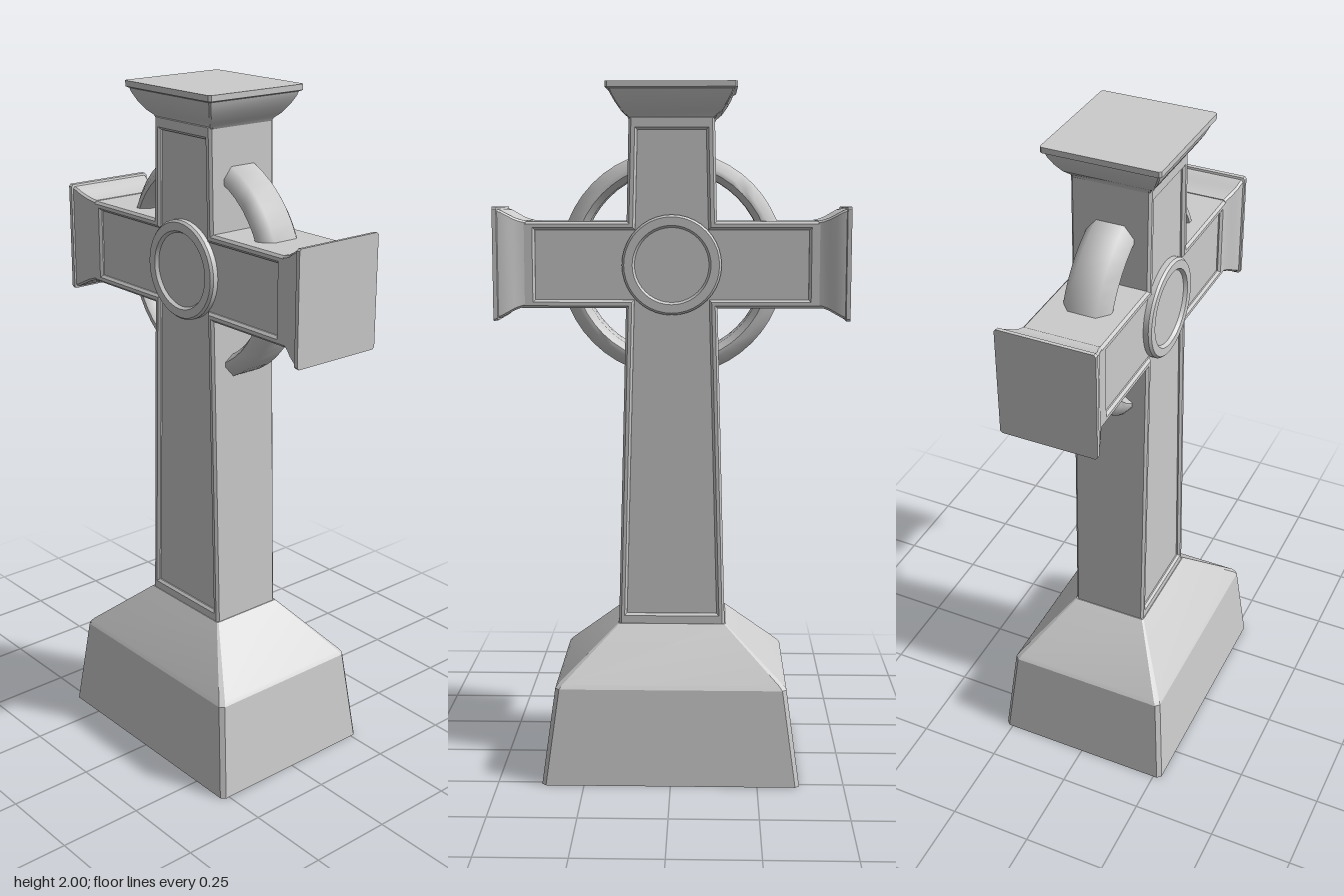
import * as THREE from 'three';
import { toCreasedNormals } from 'three/addons/utils/BufferGeometryUtils.js';

const stone = new THREE.MeshStandardMaterial({ color: 0xcccccc });
const HUB_Y = 1.492;

function part(name, geometry, crease = 0.5) {
  const mesh = new THREE.Mesh(toCreasedNormals(geometry, crease), stone);
  mesh.name = name;
  return mesh;
}

// Solid through rectangles with chamfered corners: [height, halfX, halfZ, chamfer]
function rectLoft(sections) {
  const pos = [], index = [], last = sections.length - 1;
  for (const [y, a, b, c] of sections) {
    const p = a - c, q = b - c;
    for (const [x, z] of [[a, q], [a, -q], [p, -b], [-p, -b], [-a, -q], [-a, q], [-p, b], [p, b]]) pos.push(x, y, z);
  }
  for (let s = 0; s < last; s++) {
    for (let i = 0; i < 8; i++) {
      const a = s * 8 + i, b = s * 8 + (i + 1) % 8;
      index.push(a, b, b + 8, a, b + 8, a + 8);
    }
  }
  for (let i = 1; i < 7; i++) {
    index.push(0, i + 1, i);
    index.push(last * 8, last * 8 + i, last * 8 + i + 1);
  }
  const g = new THREE.BufferGeometry();
  g.setAttribute('position', new THREE.Float32BufferAttribute(pos, 3));
  g.setIndex(index);
  return g;
}

// Cross outline with a tapering shaft, pulled inwards by d (ends by their own amount)
function crossPoints(d, end) {
  const foot = 0.156 - d, low = 0.131 - d, high = 0.128 - d, top = 0.121 - d;
  const y0 = HUB_Y - 0.123 + d, y1 = HUB_Y + 0.123 - d, arm = 0.43 - end;
  const right = [[foot, 0.43 + end], [low, y0], [arm, y0], [arm, y1], [high, y1], [top, 1.91 - end]];
  const left = right.map(([x, y]) => [-x, y]).reverse();
  return [...right, ...left].map(([x, y]) => new THREE.Vector2(x, y));
}

function extrudeCentred(shape, half, bevel) {
  const g = new THREE.ExtrudeGeometry(shape, {
    depth: 2 * (half - bevel), bevelEnabled: bevel > 0,
    bevelSize: bevel, bevelThickness: bevel, bevelOffset: -bevel, bevelSegments: 1,
  });
  return g.translate(0, 0, bevel - half);
}

export function createModel() {
  const model = new THREE.Group();
  model.name = 'stoneCross';

  // Stepped plinth with sloping shoulders
  model.add(part('base', rectLoft([
    [0, 0.372, 0.274, 0.012], [0.28, 0.334, 0.248, 0.012],
    [0.292, 0.325, 0.24, 0.012], [0.44, 0.158, 0.116, 0.004],
  ]), 0.3));

  // Cross core and the raised border around its sunken panels
  const cross = new THREE.Group();
  cross.name = 'cross';
  cross.add(part('panels', extrudeCentred(new THREE.Shape(crossPoints(0.01, 0.005)), 0.103, 0)));
  const border = new THREE.Shape(crossPoints(0, 0));
  border.holes.push(new THREE.Path(crossPoints(0.024, 0.04)));
  cross.add(part('border', extrudeCentred(border, 0.114, 0.007)));
  model.add(cross);

  // Flared arm ends
  const flare = rectLoft([
    [0.415, 0.122, 0.113, 0.006], [0.43, 0.125, 0.116, 0.006], [0.447, 0.131, 0.122, 0.006],
    [0.465, 0.141, 0.13, 0.006], [0.485, 0.152, 0.135, 0.006], [0.493, 0.154, 0.136, 0.006],
    [0.495, 0.16, 0.141, 0.006], [0.507, 0.161, 0.141, 0.006],
  ]);
  for (const side of [1, -1]) {
    const end = part(side > 0 ? 'leftArmEnd' : 'rightArmEnd', flare);
    end.rotation.z = -side * Math.PI / 2;
    end.position.y = HUB_Y + 0.003;
    model.add(end);
  }

  // Moulded cap on top
  model.add(part('cap', rectLoft([
    [1.895, 0.119, 0.108, 0.004], [1.908, 0.126, 0.113, 0.004], [1.922, 0.142, 0.128, 0.004],
    [1.945, 0.158, 0.144, 0.004], [1.968, 0.171, 0.155, 0.004], [1.98, 0.175, 0.159, 0.004],
    [1.984, 0.184, 0.167, 0.006], [2.0, 0.184, 0.167, 0.006],
  ])));

  // Ring joining the four limbs, chamfered in section
  const section = [[0.266, -0.042], [0.283, -0.068], [0.296, -0.068], [0.325, -0.04],
    [0.325, 0.04], [0.296, 0.068], [0.283, 0.068], [0.266, 0.042], [0.266, -0.042]];
  const ringGeo = new THREE.LatheGeometry(section.map(([r, z]) => new THREE.Vector2(r, z)), 48);
  const ring = part('ring', ringGeo.rotateX(Math.PI / 2), 0.9);
  ring.position.y = HUB_Y;
  model.add(ring);

  // Round boss with raised rim, on the front and the back
  const rim = [[0.142, 0.09], [0.142, 0.118], [0.136, 0.125], [0.112, 0.125], [0.106, 0.115], [0, 0.115]];
  const bossGeo = new THREE.LatheGeometry(rim.map(([r, z]) => new THREE.Vector2(r, z)), 40);
  for (const side of [1, -1]) {
    const boss = part(side > 0 ? 'frontBoss' : 'backBoss', bossGeo);
    boss.rotation.x = side * Math.PI / 2;
    boss.position.y = HUB_Y;
    model.add(boss);
  }
  return model;
}
